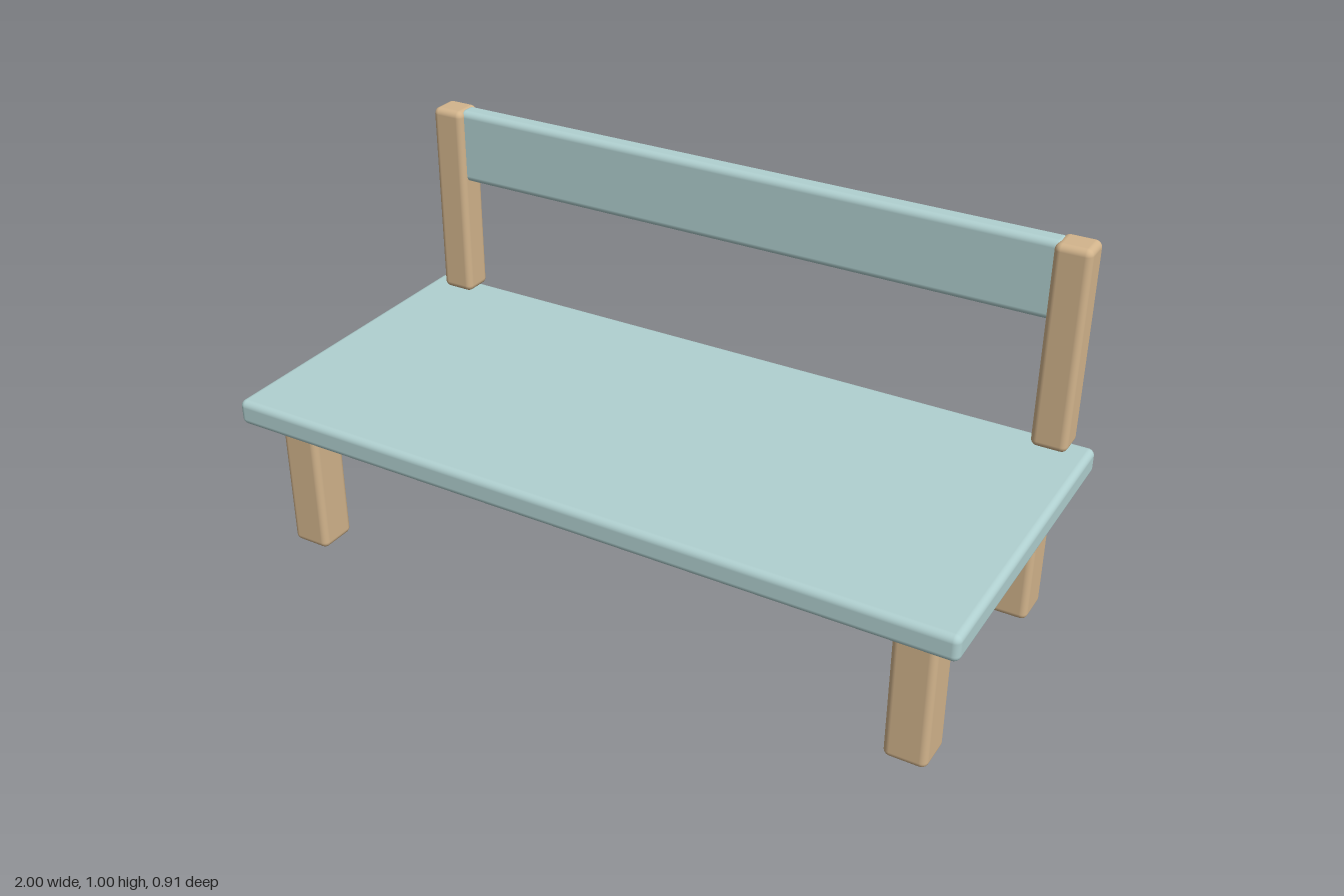
import * as THREE from 'three';
import { RoundedBoxGeometry } from 'three/addons/geometries/RoundedBoxGeometry.js';

export function createModel() {
  const bench = new THREE.Group();
  bench.name = 'bench';

  const wood = new THREE.MeshStandardMaterial({ color: 0xd2b48c });
  wood.name = 'tan wood';
  const paint = new THREE.MeshStandardMaterial({ color: 0xb0d0d0 });
  paint.name = 'pale teal paint';

  // Rounded bar given by its size and centre
  function bar(name, material, size, centre, radius = 0.018) {
    const mesh = new THREE.Mesh(new RoundedBoxGeometry(...size, 4, radius), material);
    mesh.name = name;
    mesh.position.set(...centre);
    bench.add(mesh);
  }

  // Seat board
  bar('seat', paint, [2, 0.07, 0.9], [0, 0.415, 0.005]);

  // Legs and backrest posts, mirrored left and right
  for (const [side, s] of [['left', 1], ['right', -1]]) {
    bar(`${side}FrontLeg`, wood, [0.11, 0.38, 0.11], [s * 0.873, 0.19, 0.33]);
    bar(`${side}BackLeg`, wood, [0.11, 0.38, 0.11], [s * 0.873, 0.19, -0.32]);
    bar(`${side}BackPost`, wood, [0.095, 0.55, 0.088], [s * 0.898, 0.725, -0.411]);
  }

  // Backrest board, its ends set into the posts
  bar('backrest', paint, [1.74, 0.208, 0.06], [0, 0.895, -0.414]);

  // Stretcher below the seat
  bar('stretcher', wood, [1.74, 0.074, 0.086], [0, 0.303, 0.004]);

  return bench;
}
